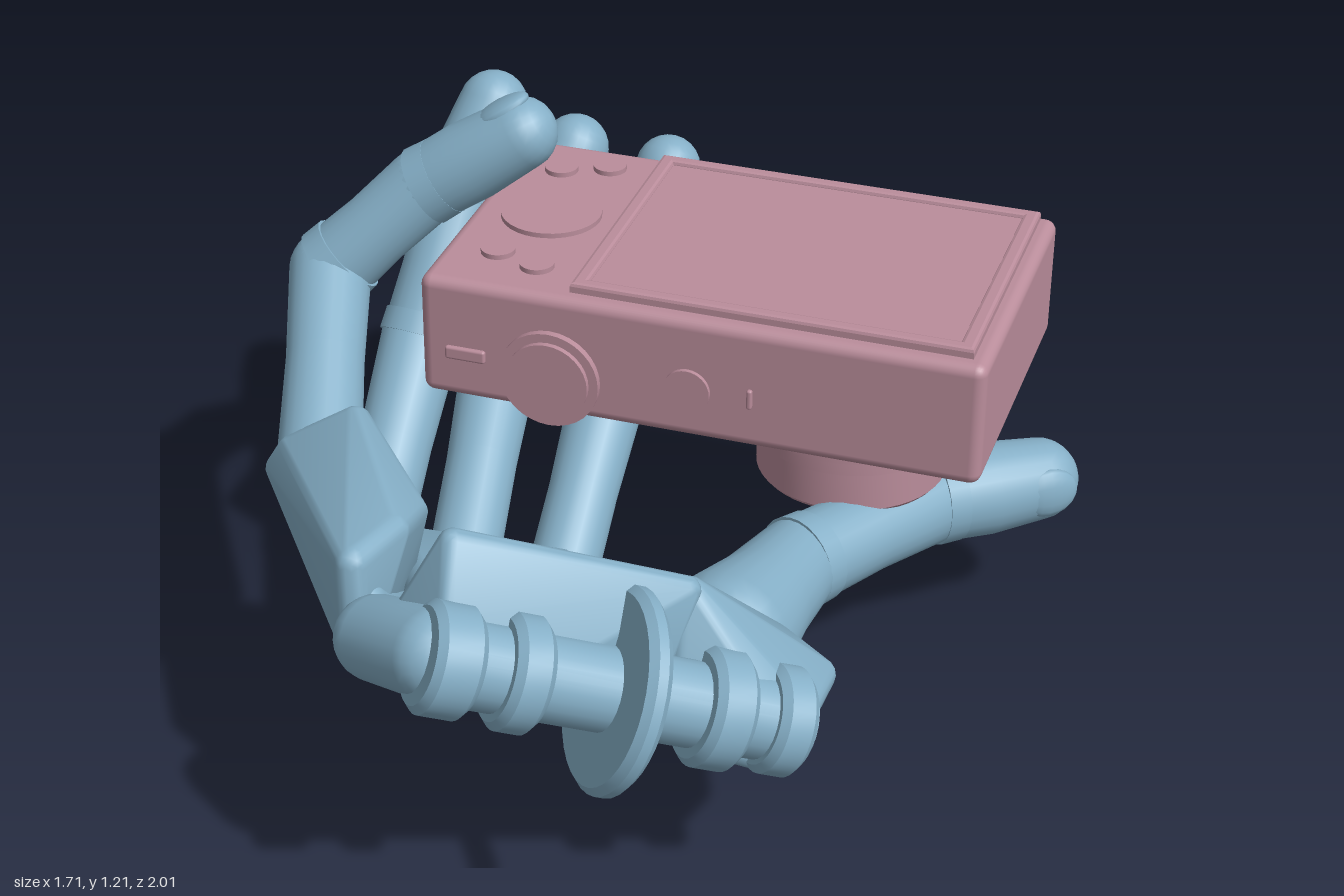
import * as THREE from 'three';
import { toCreasedNormals } from 'three/addons/utils/BufferGeometryUtils.js';
import { RoundedBoxGeometry } from 'three/addons/geometries/RoundedBoxGeometry.js';
import { ConvexGeometry } from 'three/addons/geometries/ConvexGeometry.js';

const handMat = new THREE.MeshStandardMaterial({ color: 0x86b0c8 });
const cameraMat = new THREE.MeshStandardMaterial({ color: 0xba8d9b });
const UP = new THREE.Vector3(0, 1, 0);
const V = (p) => new THREE.Vector3(...p);

function add(parent, name, geo, mat, pos = [0, 0, 0]) {
  const m = new THREE.Mesh(geo, mat);
  m.name = name;
  m.position.set(...pos);
  parent.add(m);
  return m;
}

// Rounded solid wrapped around a few corner points
function roundedHull(parent, name, corners, r) {
  const ball = new THREE.IcosahedronGeometry(r, 2).attributes.position;
  const pts = [];
  for (const c of corners)
    for (let i = 0; i < ball.count; i++) pts.push(new THREE.Vector3().fromBufferAttribute(ball, i).add(V(c)));
  add(parent, name, toCreasedNormals(new ConvexGeometry(pts), 0.6), handMat);
}

// Finger bone: round-ended, running from a to b; girth scales the middle
function bone(parent, name, a, b, r0, r1, girth) {
  const A = V(a), dir = V(b).sub(A), L = dir.length();
  const pts = [];
  for (let i = 0; i <= 6; i++) {
    const t = (i / 6) * Math.PI / 2;
    pts.push(new THREE.Vector2(r0 * Math.sin(t), -r0 * Math.cos(t)));
  }
  pts.push(new THREE.Vector2((r0 + r1) * 0.5 * girth, L * 0.5));
  for (let i = 6; i >= 0; i--) {
    const t = (i / 6) * Math.PI / 2;
    pts.push(new THREE.Vector2(r1 * Math.sin(t), L + r1 * Math.cos(t)));
  }
  const m = add(parent, name, new THREE.LatheGeometry(pts, 24), handMat, a);
  m.quaternion.setFromUnitVectors(UP, dir.normalize());
}

// Finger: chain of bones with a collar at each joint and a nail on the back
function finger(parent, name, path, radii, back) {
  const g = new THREE.Group();
  g.name = name;
  parent.add(g);
  const n = path.length - 1, r = radii[n];
  for (let i = 0; i < n; i++) {
    bone(g, 'fingerBone', path[i], path[i + 1], radii[i], radii[i + 1], i === n - 1 ? 1.08 : 0.94);
    if (i > 0) {
      const dir = V(path[i + 1]).sub(V(path[i])).normalize();
      const collar = add(g, 'jointCollar', new THREE.CylinderGeometry(radii[i] * 1.03, radii[i] * 1.06, 0.05, 24), handMat);
      collar.position.copy(V(path[i])).addScaledVector(dir, 0.03);
      collar.quaternion.setFromUnitVectors(UP, dir);
    }
  }
  const dir = V(path[n]).sub(V(path[n - 1])).normalize();
  const out = V(back).addScaledVector(dir, -V(back).dot(dir)).normalize();
  const side = new THREE.Vector3().crossVectors(dir, out);
  const nail = add(g, 'nail', new THREE.SphereGeometry(1, 16, 10), handMat);
  nail.position.copy(V(path[n])).addScaledVector(out, r * 0.8).addScaledVector(dir, -0.01);
  nail.quaternion.setFromRotationMatrix(new THREE.Matrix4().makeBasis(side, dir, out));
  nail.scale.set(r * 0.62, 0.07, r * 0.28);
}

function buildHand() {
  const hand = new THREE.Group();
  hand.name = 'hand';

  // Palm plate, sloping up from the knuckles to the wrist
  roundedHull(hand, 'palm', [
    [-0.15, 0.04, -0.18], [-0.38, 0.165, -0.04], [-0.58, 0.28, 0.09], [-0.24, 0.61, 0.76],
    [0.25, 0.42, 0.62], [0.43, 0.28, 0.42],
  ], 0.04);
  roundedHull(hand, 'palmSwell', [
    [-0.21, 0.17, -0.16], [-0.16, 0.09, -0.16], [-0.48, 0.31, 0.06], [-0.22, 0.56, 0.55], [0.22, 0.4, 0.34], [0.1, 0.26, 0.12],
  ], 0.045);
  roundedHull(hand, 'palmEdge', [
    [-0.6, 0.34, 0.13], [-0.62, 0.51, 0.21], [-0.3, 0.62, 0.68], [-0.28, 0.53, 0.6], [-0.5, 0.36, 0.18],
  ], 0.04);
  // Long block carrying the index finger
  roundedHull(hand, 'indexKnuckleBlock', [
    [-0.32, 0.71, 0.69], [-0.31, 0.53, 0.71], [-0.52, 0.7, 0.2], [-0.69, 0.56, 0.21], [-0.66, 0.61, 0.21],
    [-0.64, 0.52, 0.19], [-0.29, 0.71, 0.56], [-0.31, 0.66, 0.42], [-0.34, 0.53, 0.42],
  ], 0.035);
  // Heel of the hand, wrapped around the inner half of the hinge
  roundedHull(hand, 'wristBlock', [
    [-0.08, 0.85, 0.76], [0.3, 0.67, 0.52], [-0.18, 0.66, 0.8], [0.24, 0.44, 0.63], [-0.13, 0.5, 0.44],
    [0.22, 0.4, 0.34], [-0.06, 0.74, 0.84], [0.16, 0.63, 0.7], [0.12, 0.5, 0.73], [-0.02, 0.58, 0.81],
  ], 0.03);
  // Thumb mount, closing over the end of the hinge
  roundedHull(hand, 'thumbMount', [
    [0.3, 0.65, 0.5], [0.53, 0.42, 0.37], [0.47, 0.3, 0.41], [0.42, 0.43, 0.3], [0.24, 0.43, 0.29],
    [0.26, 0.35, 0.36], [0.44, 0.5, 0.55], [0.53, 0.43, 0.52], [0.47, 0.34, 0.55], [0.33, 0.41, 0.62],
  ], 0.035);

  // Wrist hinge: an axle strung with discs of different size
  const a = V([-0.07, 0.69, 0.905]), b = V([0.53, 0.4, 0.51]);
  const dir = b.clone().sub(a), length = dir.length();
  const hinge = new THREE.Group();
  hinge.name = 'wristHinge';
  hinge.position.copy(a);
  hinge.quaternion.setFromUnitVectors(UP, dir.clone().normalize());
  hand.add(hinge);
  add(hinge, 'axle', new THREE.CylinderGeometry(0.085, 0.085, length, 24), handMat, [0, length / 2, 0]);
  for (const [t, r, w] of [[0.03, 0.11, 0.1], [0.22, 0.115, 0.08], [0.49, 0.205, 0.05], [0.76, 0.12, 0.09], [0.94, 0.11, 0.08]]) {
    const e = 0.015, h = w / 2;
    const profile = [[0, -h], [r - e, -h], [r, -h + e], [r, h - e], [r - e, h], [0, h]].map((p) => new THREE.Vector2(...p));
    add(hinge, 'hingeDisc', toCreasedNormals(new THREE.LatheGeometry(profile, 36), 0.5), handMat, [0, t * length, 0]);
  }
  bone(hand, 'wristStub', [-0.23, 0.62, 0.79], [-0.08, 0.68, 0.88], 0.085, 0.09, 1);

  // Fingers and thumb
  finger(hand, 'indexFinger', [[-0.62, 0.58, 0.17], [-0.76, 0.79, -0.24], [-0.57, 0.98, -0.33], [-0.36, 1.12, -0.375]],
    [0.09, 0.09, 0.085, 0.08], [-0.5, 0.85, 0]);
  finger(hand, 'middleFinger', [[-0.57, 0.28, 0.06], [-0.6, 0.58, -0.35], [-0.58, 0.84, -0.55], [-0.54, 1.02, -0.68]],
    [0.085, 0.09, 0.088, 0.078], [0, -0.4, -0.9]);
  finger(hand, 'ringFinger', [[-0.41, 0.17, -0.08], [-0.49, 0.44, -0.56], [-0.47, 0.63, -0.78], [-0.43, 0.82, -0.915]],
    [0.08, 0.09, 0.088, 0.078], [0, -0.4, -0.9]);
  finger(hand, 'littleFinger', [[-0.22, 0.08, -0.17], [-0.24, 0.38, -0.6], [-0.22, 0.61, -0.79], [-0.2, 0.81, -0.905]],
    [0.08, 0.088, 0.085, 0.075], [0, -0.4, -0.9]);
  finger(hand, 'thumb', [[0.31, 0.39, 0.25], [0.36, 0.37, -0.06], [0.56, 0.35, -0.43], [0.765, 0.34, -0.6]],
    [0.14, 0.098, 0.1, 0.092], [0.65, 0.1, 0.75]);
  return hand;
}

function buildCamera() {
  const cam = new THREE.Group();
  cam.name = 'camera';
  add(cam, 'cameraBody', new RoundedBoxGeometry(1.215, 0.28, 0.685, 3, 0.025), cameraMat, [0.135, 0.785, -0.39]);

  // Screen with a raised frame
  const rect = (Type, w, h) => new Type().moveTo(-w, -h).lineTo(w, -h).lineTo(w, h).lineTo(-w, h).closePath();
  const frame = rect(THREE.Shape, 0.42, 0.305);
  frame.holes.push(rect(THREE.Path, 0.402, 0.29));
  const frameGeo = new THREE.ExtrudeGeometry(frame, { depth: 0.02, bevelSize: 0.008, bevelThickness: 0.008, bevelSegments: 2 });
  add(cam, 'screenFrame', frameGeo.rotateX(-Math.PI / 2), cameraMat, [0.28, 0.919, -0.395]);
  add(cam, 'screen', new THREE.BoxGeometry(0.79, 0.02, 0.57), cameraMat, [0.28, 0.928, -0.395]);

  // Control pad and buttons beside the screen
  for (const [x, z, r] of [[-0.3, -0.395, 0.11], [-0.35, -0.6, 0.037], [-0.25, -0.64, 0.037], [-0.35, -0.2, 0.037], [-0.25, -0.165, 0.037]])
    add(cam, 'button', new THREE.CylinderGeometry(r, r, 0.02, 32), cameraMat, [x, 0.926, z]);

  // Dials and small details on the edge
  for (const [x, y, r, d] of [[-0.18, 0.735, 0.11, 0.018], [-0.18, 0.735, 0.09, 0.03], [0.12, 0.76, 0.05, 0.012]]) {
    const dial = add(cam, 'dial', new THREE.CylinderGeometry(r, r, d, 32), cameraMat, [x, y, -0.05 + d / 2]);
    dial.rotation.x = Math.PI / 2;
  }
  add(cam, 'edgeSlot', new RoundedBoxGeometry(0.09, 0.03, 0.015, 2, 0.006), cameraMat, [-0.37, 0.755, -0.046]);
  add(cam, 'edgeSlit', new RoundedBoxGeometry(0.012, 0.045, 0.015, 2, 0.005), cameraMat, [0.255, 0.765, -0.046]);

  // Lens: stepped barrel pointing down with a hollow mouth
  const profile = [[0.285, 0.66], [0.285, 0.635], [0.265, 0.635], [0.265, 0.61], [0.24, 0.61], [0.24, 0.575],
    [0.222, 0.575], [0.222, 0.535], [0.208, 0.535], [0.208, 0.44], [0.2, 0.43], [0.13, 0.43], [0.09, 0.455], [0, 0.455]];
  const lens = new THREE.LatheGeometry(profile.reverse().map((p) => new THREE.Vector2(...p)), 48);
  add(cam, 'lens', toCreasedNormals(lens, 0.5), cameraMat, [0.39, 0, -0.395]);
  return cam;
}

export function createModel() {
  const model = new THREE.Group();
  model.name = 'handHoldingCamera';
  model.add(buildHand(), buildCamera());
  return model;
}
